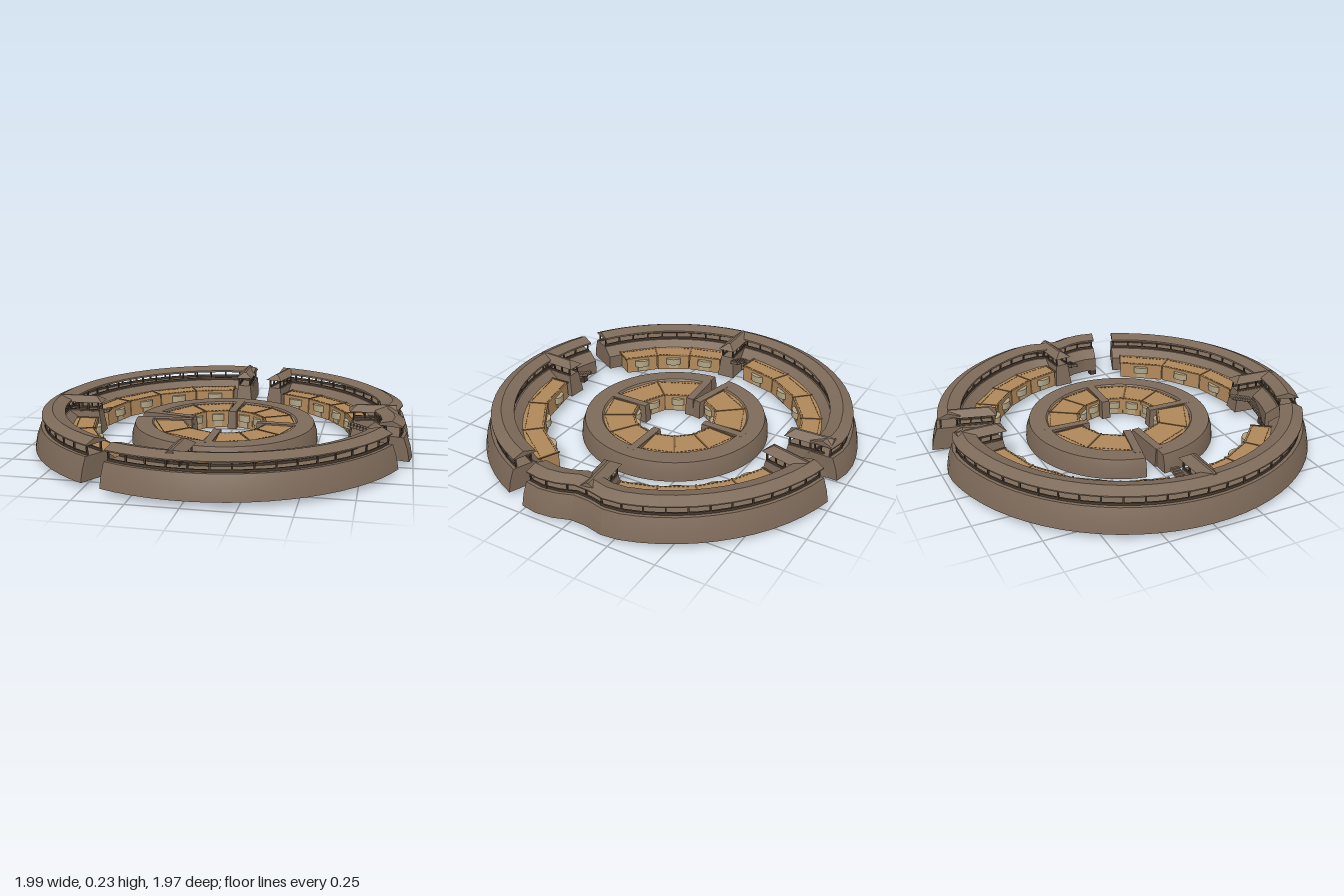
import * as THREE from 'three';
import { mergeGeometries, toCreasedNormals } from 'three/addons/utils/BufferGeometryUtils.js';

// Walls and rooms are hollow shells, open underneath, so their colours are double sided
const mat = (name, color, side = THREE.FrontSide) => Object.assign(new THREE.MeshStandardMaterial({ color, side }), { name });
const clay = mat('clay brown', 0x7d6a59, THREE.DoubleSide);
const sand = mat('sandstone', 0xb0885a, THREE.DoubleSide);
const timber = mat('dark timber', 0x4a3c30);
const wood = mat('wood brown', 0x795a39);
const pale = mat('pale stone', 0xb3a585);
const rad = (d) => (d * Math.PI) / 180;

function add(parent, name, geometry, material) {
  const mesh = new THREE.Mesh(geometry, material);
  mesh.name = name;
  parent.add(mesh);
  return mesh;
}

// Joins geometries of any kind, keeping only positions and normals
function merge(list) {
  return mergeGeometries(list.map((g) => {
    const flat = g.index ? g.toNonIndexed() : g;
    flat.deleteAttribute('uv');
    return flat;
  }));
}

// Sweeps a counter-clockwise (radius, height) profile around y, with end caps.
// firstEdge = 1 leaves the bottom, the profile's first edge, open.
function sweep(profile, d0, d1, steps, firstEdge = 0, offset = () => 0) {
  const pos = [];
  const n = profile.length;
  const put = (i, s) => {
    const d = d0 + ((d1 - d0) * s) / steps;
    const [r, y] = profile[i % n];
    const R = r + offset(d);
    pos.push(R * Math.cos(rad(d)), y, R * Math.sin(rad(d)));
  };
  for (let s = 0; s < steps; s++) {
    for (let i = firstEdge; i < n; i++) {
      put(i, s); put(i + 1, s); put(i, s + 1);
      put(i + 1, s); put(i + 1, s + 1); put(i, s + 1);
    }
  }
  const outline = profile.map(([r, y]) => new THREE.Vector2(r, y));
  for (const [a, b, c] of THREE.ShapeUtils.triangulateShape(outline, [])) {
    put(a, 0); put(c, 0); put(b, 0);
    put(a, steps); put(b, steps); put(c, steps);
  }
  const g = new THREE.BufferGeometry();
  g.setAttribute('position', new THREE.Float32BufferAttribute(pos, 3));
  return toCreasedNormals(g, 0.3);
}

// Box along x from r0 to r1, with its top narrowed in z and pulled back at the inner end
function taperedBar(r0, r1, y0, y1, wBottom, wTop, pull) {
  const g = new THREE.BoxGeometry(1, 1, 1).toNonIndexed();
  const p = g.attributes.position;
  for (let i = 0; i < p.count; i++) {
    const top = p.getY(i) > 0;
    const inner = p.getX(i) < 0;
    p.setXYZ(i, inner ? r0 + (top ? pull : 0) : r1, top ? y1 : y0, p.getZ(i) * (top ? wTop : wBottom));
  }
  g.computeVertexNormals();
  return g;
}

const box = (w, h, d, x, y, z) => new THREE.BoxGeometry(w, h, d).translate(x, y, z);
const atAngle = (g, d) => g.rotateY(-rad(d));

// A row of rooms: sandstone shells, wooden seams and pegs, arched doors with rounded canopies
function rooms(parent, d0, d1, count, rIn, rOut, yBase, yTop, scale) {
  const blocks = [], trim = [], stone = [];
  const step = (d1 - d0) / count;
  const cos = Math.cos(rad(step / 2));
  const half = Math.sin(rad(step / 2));
  const face = rIn * cos;
  for (let k = 0; k < count; k++) {
    const a = d0 + k * step;
    const mid = a + step / 2;
    blocks.push(sweep([[rIn, yBase], [rOut, yBase], [rOut, yTop], [rIn + 0.004, yTop]], a + 0.25, a + step - 0.25, 1, 1));
    // dashed pegs along both long roof edges
    for (const r of [rIn + 0.014, rOut - 0.022]) {
      const n = Math.max(4, Math.round((2 * r * half) / 0.022));
      for (let i = 0; i < n; i++) {
        const z = ((i + 0.5) / n - 0.5) * 2 * r * half * 0.9;
        trim.push(atAngle(box(0.003, 0.003, 0.011, r * cos, yTop + 0.001, z), mid));
      }
    }
    // door and canopy on the courtyard side
    const w = 0.027 * scale;
    const s = new THREE.Shape();
    s.moveTo(-w, 0);
    s.lineTo(w, 0);
    s.lineTo(w, 0.03);
    s.absarc(0, 0.03, w, 0, Math.PI, false);
    const door = new THREE.ExtrudeGeometry(s, { depth: 0.005, bevelEnabled: false, curveSegments: 6 });
    stone.push(atAngle(door.rotateY(-Math.PI / 2).translate(face + 0.001, yBase + 0.008, 0), mid));
    const canopy = new THREE.CylinderGeometry(0.042 * scale, 0.042 * scale, 0.038, 10, 1, false, Math.PI, Math.PI);
    stone.push(atAngle(canopy.scale(0.55, 1, 1).translate(face + 0.001, yTop - 0.033, 0), mid));
  }
  for (let k = 0; k <= count; k++) {
    trim.push(atAngle(box(rOut - rIn, 0.006, 0.009, (rIn + rOut) / 2, yTop, 0), d0 + k * step));
  }
  add(parent, 'roomShells', merge(blocks), sand);
  add(parent, 'roofTrim', merge(trim), wood);
  add(parent, 'doorsAndCanopies', merge(stone), pale);
}

// Curved fortified wall with a roofed gallery on top
function wallSegment(parent, d0, d1, offset) {
  const steps = Math.round((d1 - d0) / 5);
  const arc = (profile, firstEdge, inset) => sweep(profile, d0 + inset, d1 - inset, steps, firstEdge, offset);
  add(parent, 'wall', arc([[0.79, 0.03], [1, 0.03], [0.988, 0.09], [0.966, 0.15], [0.85, 0.15], [0.79, 0.108]], 1, 0), clay);
  add(parent, 'galleryRoof', arc([[0.84, 0.2], [0.96, 0.198], [0.96, 0.204], [0.905, 0.228], [0.84, 0.21]], 0, 0), clay);
  const parts = [];
  const posts = Math.round((d1 - d0) / 6);
  for (const r of [0.862, 0.945]) {
    parts.push(arc([[r - 0.004, 0.148], [r + 0.004, 0.148], [r + 0.004, 0.162], [r - 0.004, 0.162]], 0, 0.5));
    for (let i = 0; i <= posts; i++) {
      const d = d0 + 0.7 + ((d1 - d0 - 1.4) * i) / posts;
      parts.push(atAngle(box(0.008, 0.056, 0.008, r + offset(d), 0.175, 0), d));
    }
  }
  add(parent, 'galleryPostsAndRails', merge(parts), timber);
}

// Radial wing running inward from the wall, with its own posts and hipped roof
function wing(parent, d) {
  const g = new THREE.Group();
  g.name = 'radialWing';
  g.rotation.y = -rad(d);
  parent.add(g);
  add(g, 'wingWall', taperedBar(0.665, 0.9, 0.03, 0.15, 0.1, 0.075, 0.02), clay);
  add(g, 'wingRoof', taperedBar(0.665, 0.91, 0.2, 0.23, 0.096, 0.012, 0.04), clay);
  const parts = [];
  for (const z of [-0.032, 0.032]) {
    parts.push(box(0.19, 0.012, 0.006, 0.78, 0.155, z));
    for (let i = 0; i < 4; i++) parts.push(box(0.008, 0.056, 0.008, 0.69 + i * 0.055, 0.175, z));
  }
  add(g, 'wingPosts', merge(parts), timber);
}

// Stair flight between two plan points: blocky treads on two beams
function stair(parent, x0, z0, x1, z1, y0, y1, width) {
  const treads = [], beams = [];
  const length = Math.hypot(x1 - x0, z1 - z0);
  const n = Math.round(length / 0.016);
  for (let i = 0; i < n; i++) {
    const t = (i + 0.5) / n;
    treads.push(box(0.013, 0.014, width, t * length, y0 + (y1 - y0) * t, 0));
  }
  for (const side of [-1, 1]) {
    const beam = box(Math.hypot(length, y1 - y0), 0.01, 0.005, 0, 0, 0);
    beam.rotateZ(Math.atan2(y1 - y0, length)).translate(length / 2, (y0 + y1) / 2 - 0.006, side * width * 0.42);
    beams.push(beam);
  }
  const flight = new THREE.Group();
  flight.name = 'stairFlight';
  flight.position.set(x0, 0, z0);
  flight.rotation.y = -Math.atan2(z1 - z0, x1 - x0);
  parent.add(flight);
  add(flight, 'treads', merge(treads), clay);
  add(flight, 'beams', merge(beams), timber);
}

export function createModel() {
  const model = new THREE.Group();
  model.name = 'ringVillage';

  // Outer ring: three wall segments separated by gateways
  const outer = new THREE.Group();
  outer.name = 'outerRing';
  model.add(outer);
  const flatten = (d) => -0.012 * Math.sin(rad(d)) ** 2;
  const taperedEnd = (d) => flatten(d) - 0.004 * Math.max(0, d - 265);
  const dented = (d) => 0.01 - 0.058 * Math.exp(-(((d + 3) / 7) ** 2));
  const segments = [
    { from: 120.5, to: 272, offset: taperedEnd, rooms: [[126, 174, 3], [187, 263.5, 4]], wings: [178, 269] },
    { from: -77.5, to: 14, offset: dented, rooms: [[-70, -9.5, 4]], wings: [-74.8, -5.5] },
    { from: 21.5, to: 113.5, offset: flatten, rooms: [[25, 89, 3]], wings: [94] },
  ];
  for (const s of segments) {
    wallSegment(outer, s.from, s.to, s.offset);
    for (const [a, b, n] of s.rooms) rooms(outer, a, b, n, 0.685, 0.81, 0.03, 0.118, 1);
    for (const d of s.wings) wing(outer, d);
  }

  // Two-flight stairs beside three wings, with a foot post under each
  const stairs = [
    [[-0.65, -0.035], [-0.79, -0.035], [-0.785, -0.11]],
    [[0.66, 0.005], [0.82, 0.005], [0.8, 0.18]],
    [[-0.11, 0.62], [-0.11, 0.75], [-0.23, 0.755]],
  ];
  for (const [top, turn, foot] of stairs) {
    stair(outer, ...top, ...turn, 0.142, 0.1, 0.042);
    stair(outer, ...turn, ...foot, 0.1, 0.045, 0.036);
    add(outer, 'stairFoot', box(0.036, 0.04, 0.036, foot[0], 0.02, foot[1]), timber);
  }

  // Inner ring: low rim, rooms around a central court, radial partitions
  const inner = new THREE.Group();
  inner.name = 'innerRing';
  inner.position.z = -0.017;
  model.add(inner);
  const rim = [[0.38, 0.02], [0.5, 0.02], [0.496, 0.07], [0.48, 0.118], [0.39, 0.12], [0.38, 0.11]];
  add(inner, 'rim', sweep(rim, 189.5, 538.5, 72, 1), clay);
  for (const [a, b, n] of [[-83, -3, 3], [4, 87, 3], [95, 174, 2], [195, 266, 2]]) {
    rooms(inner, a, b, n, 0.215, 0.4, 0.02, 0.112, 0.8);
  }
  for (const d of [-88, 1.5, 91, 176.5, 192]) {
    const partition = add(inner, 'partition', taperedBar(0.17, 0.42, 0.02, 0.12, 0.05, 0.042, 0.008), clay);
    partition.rotation.y = -rad(d);
  }
  return model;
}
